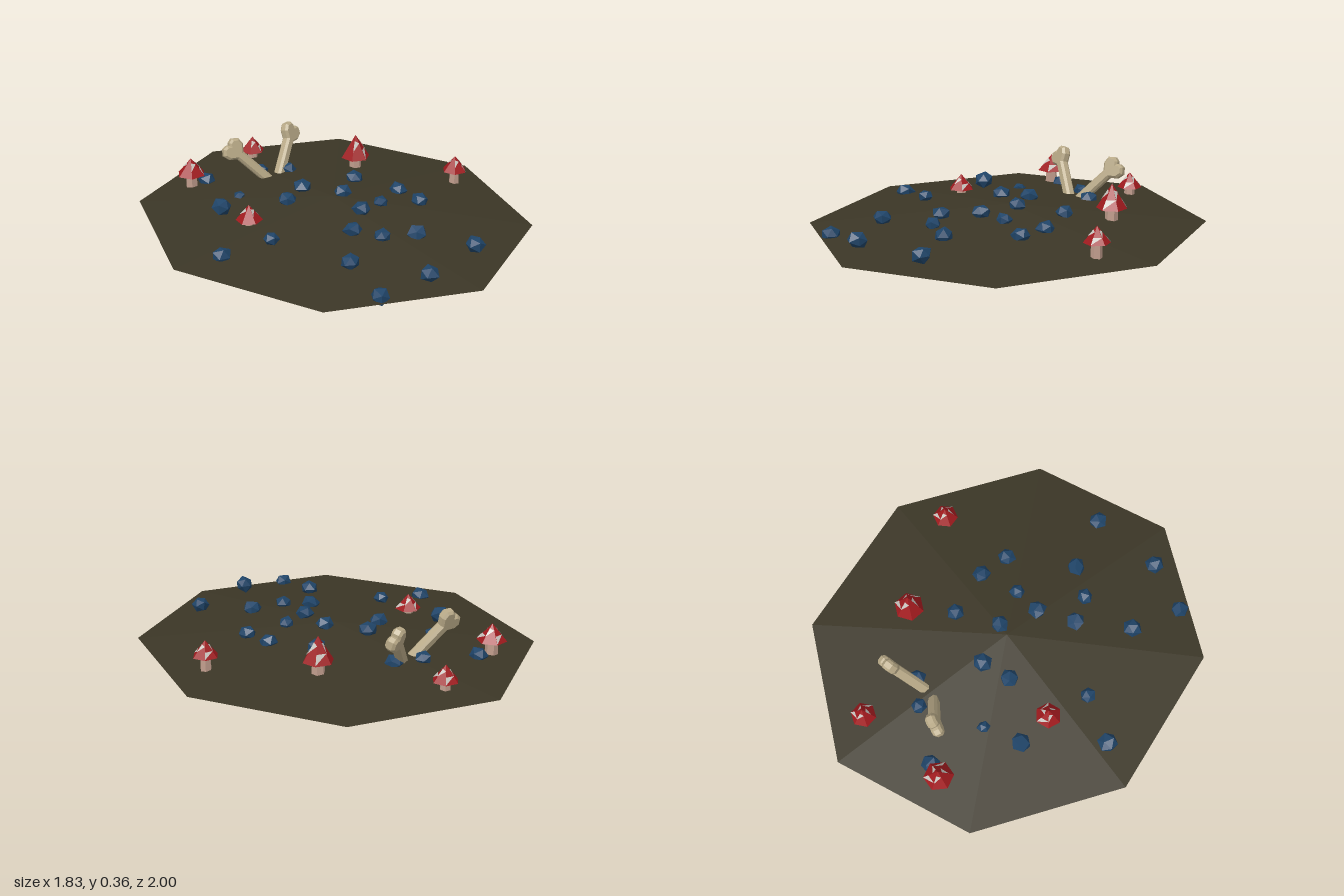
import * as THREE from 'three';

const mat = (color, flatShading = true) =>
  new THREE.MeshStandardMaterial({ color, flatShading, side: THREE.DoubleSide });
const soil = mat(0x3b3626), stone = mat(0x1f4468), bone = mat(0xb8a987);
const red = mat(0xa01a1e), white = mat(0xc8c4be), stalk = mat(0xc09c8c);

function add(parent, name, geometry, material) {
  const mesh = new THREE.Mesh(geometry, material);
  mesh.name = name;
  parent.add(mesh);
  return mesh;
}

// Height of the shallow mound
const groundY = (x, z) => 0.195 - 0.093 * Math.hypot(x / 0.915, z) - 0.008 * x;

// Shallow eight-sided mound, slightly tilted
function ground() {
  const g = new THREE.ConeGeometry(1, 0.093, 8, 1, true);
  g.scale(0.915, 1, 1).translate(0, 0.1485, 0);
  const p = g.attributes.position;
  for (let i = 0; i < p.count; i++) p.setY(i, p.getY(i) - 0.008 * p.getX(i));
  g.computeVertexNormals();
  return g;
}

// Irregular faceted rock; equal corners get equal jitter, so it stays closed
function rock(r, seed) {
  const g = new THREE.IcosahedronGeometry(1, 0);
  const p = g.attributes.position;
  const v = new THREE.Vector3();
  for (let i = 0; i < p.count; i++) {
    v.fromBufferAttribute(p, i);
    const h = Math.sin(v.x * 12.9 + v.y * 78.2 + v.z * 37.7 + seed * 4.1) * 43.7;
    v.multiplyScalar(0.9 + 0.28 * Math.abs(h - Math.trunc(h)));
    p.setXYZ(i, v.x * r, v.y * r * 0.85, v.z * r);
  }
  g.rotateY(seed * 1.7);
  g.computeVertexNormals();
  return g;
}

// Bone: a bevelled outline with two knuckles at each end, along local y
function boneGeometry(half) {
  const quarter = [[0.014, half - 0.045], [0.044, half - 0.015], [0.048, half + 0.012],
    [0.03, half + 0.03], [0.014, half + 0.028], [0, half + 0.014]];
  const right = quarter.map(([x, y]) => new THREE.Vector2(x, y));
  const top = [...right, ...right.slice(0, -1).reverse().map(v => new THREE.Vector2(-v.x, v.y))];
  const outline = [...top, ...top.map(v => new THREE.Vector2(-v.x, -v.y))];
  const g = new THREE.ExtrudeGeometry(new THREE.Shape(outline), {
    depth: 0.026, bevelEnabled: true, bevelSegments: 1, bevelSize: 0.01, bevelThickness: 0.012,
  });
  return g.translate(0, 0, -0.013);
}

// Mushroom: hexagonal stalk and pointed cap with white triangular flecks
function mushroom(x, z, r, base, rim, tip, spin) {
  const g = new THREE.Group();
  g.name = 'mushroom';
  g.position.set(x, 0, z);
  g.rotation.y = spin;
  const h = tip - rim;
  const stem = new THREE.CylinderGeometry(r * 0.4, r * 0.45, rim - base + 0.01, 6);
  add(g, 'stalk', stem.translate(0, (rim + base) / 2 + 0.005, 0), stalk);
  add(g, 'cap', new THREE.ConeGeometry(r, h, 6).translate(0, rim + h / 2, 0), red);

  // A fleck lies just above each cap side, alternating between high and low
  const onCap = (angle, t) => [Math.sin(angle) * r * t * 1.03,
    rim + h * (1 - t) + 0.002, Math.cos(angle) * r * t * 1.03];
  const flecks = [];
  for (let i = 0; i < 6; i++) {
    if (i === 4) continue;
    const a = i * Math.PI / 3, b = a + Math.PI / 3;
    const corners = i % 2
      ? [onCap(a, 0.25), onCap(a, 0.66), onCap(b, 0.35)]
      : [onCap(a, 0.62), onCap(a, 0.98), onCap(b, 0.62)];
    flecks.push(...corners.flat());
  }
  const fg = new THREE.BufferGeometry();
  fg.setAttribute('position', new THREE.Float32BufferAttribute(flecks, 3));
  fg.computeVertexNormals();
  add(g, 'capFlecks', fg, white);
  return g;
}

export function createModel() {
  const model = new THREE.Group();
  model.name = 'mushroomPatch';
  add(model, 'ground', ground(), soil);

  // Scattered rocks: x, z, radius, lift above the ground
  const rocks = new THREE.Group();
  rocks.name = 'rocks';
  model.add(rocks);
  [[-0.275, -0.66, 0.044, 0], [-0.025, -0.54, 0.038, 0.01], [0.095, -0.47, 0.045, 0],
    [-0.29, -0.36, 0.03, 0], [-0.46, -0.27, 0.047, 0.035], [-0.04, -0.18, 0.044, 0.015],
    [-0.18, -0.12, 0.042, 0.01], [0.25, -0.125, 0.043, 0.01], [0.06, 0.005, 0.043, 0.01],
    [-0.7, 0.065, 0.046, 0.005], [-0.47, 0.125, 0.038, 0.015], [0.34, 0.1, 0.044, 0.005],
    [0.335, 0.255, 0.042, 0.01], [0.015, 0.195, 0.044, 0.015], [0.15, 0.18, 0.037, 0.01],
    [-0.14, 0.31, 0.043, 0.01], [-0.065, 0.43, 0.038, 0.01], [0.09, 0.495, 0.045, 0.01],
    [-0.33, 0.515, 0.045, 0.02], [-0.385, 0.77, 0.045, 0], [-0.135, 0.81, 0.046, 0.035],
    [0.22, 0.74, 0.045, 0.03],
  ].forEach(([x, z, r, lift], i) => {
    add(rocks, 'rock', rock(r, i + 1), stone).position.set(x, groundY(x, z) + lift, z);
  });

  // Two crossed bones leaning outwards through the ground
  for (const s of [-1, 1]) {
    const top = new THREE.Vector3(s * 0.183, 0.308, -0.555);
    const bottom = new THREE.Vector3(s * -0.035, 0.052, -0.422);
    const yAxis = top.clone().sub(bottom);
    const half = yAxis.length() / 2;
    yAxis.normalize();
    const xAxis = yAxis.clone().cross(new THREE.Vector3(0, 0, 1)).normalize();
    const zAxis = xAxis.clone().cross(yAxis);
    const mesh = add(model, s < 0 ? 'rightBone' : 'leftBone', boneGeometry(half), bone);
    mesh.quaternion.setFromRotationMatrix(new THREE.Matrix4().makeBasis(xAxis, yAxis, zAxis));
    mesh.position.copy(top).add(bottom).multiplyScalar(0.5);
  }

  // Mushrooms: x, z, cap radius, stalk base, cap rim, cap tip, spin
  [[-0.36, -0.67, 0.072, 0.085, 0.185, 0.268, 0.5], [0.1, -0.775, 0.062, 0.075, 0.155, 0.232, 0.2],
    [0.4, -0.29, 0.074, 0.095, 0.195, 0.315, 0.1], [-0.435, -0.085, 0.064, 0.075, 0.172, 0.248, 0.9],
    [0.69, 0.14, 0.062, 0.088, 0.18, 0.257, 0.3],
  ].forEach(m => model.add(mushroom(...m)));

  return model;
}
